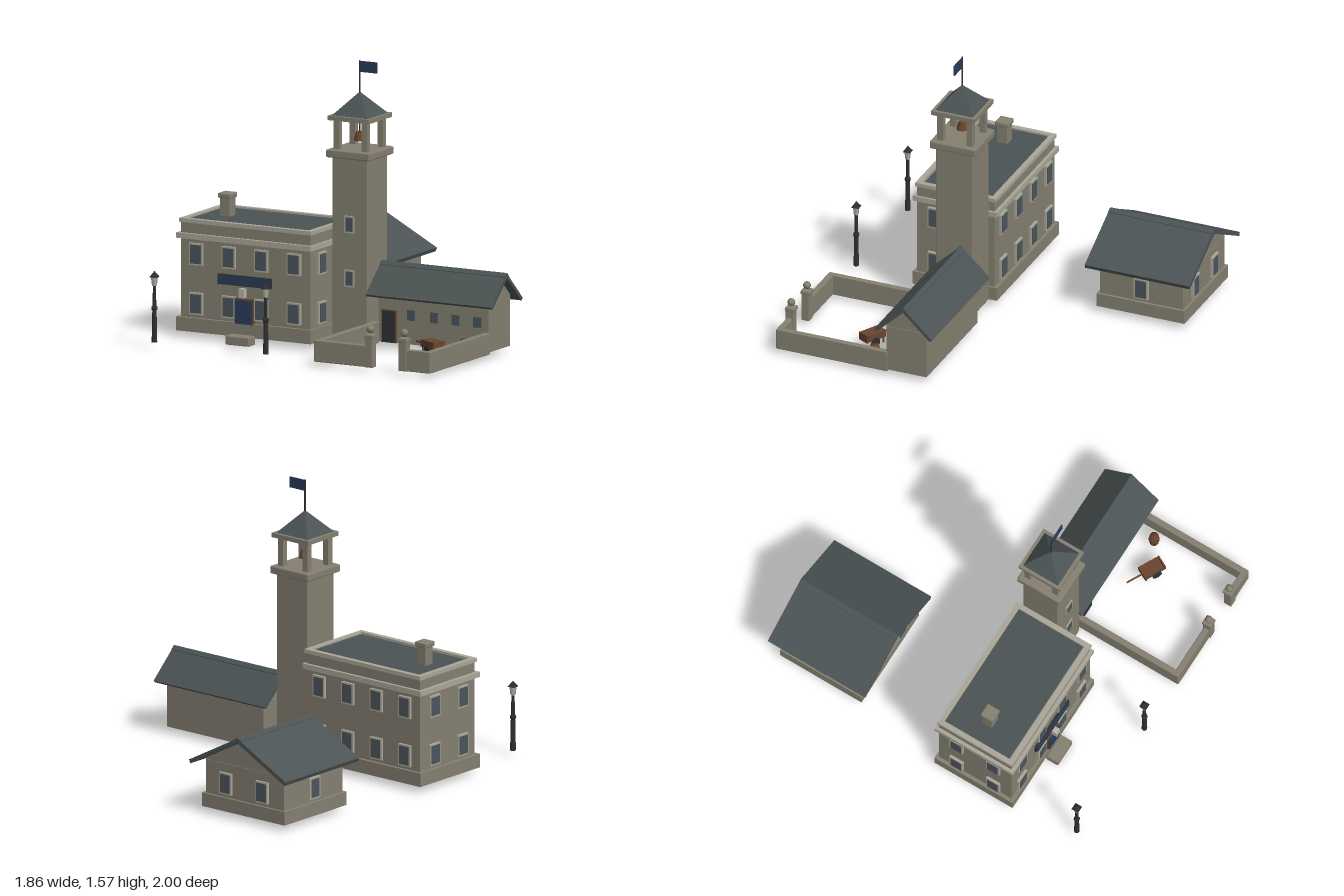
import * as THREE from 'three';
import { RoundedBoxGeometry } from 'three/addons/geometries/RoundedBoxGeometry.js';

const mat = (name, color) => Object.assign(new THREE.MeshStandardMaterial({ color }), { name });

export function createModel() {
  const stone = mat('stone', 0x858071), trim = mat('pale trim', 0xaaa799), slate = mat('slate', 0x4b5354);
  const glass = mat('window glass', 0x4c565c), navy = mat('navy', 0x2a3c5a), wood = mat('wood', 0x6a452e);
  const iron = mat('dark iron', 0x2d3032), lampGlass = mat('lamp glass', 0xb9b6a8);
  const root = new THREE.Group();
  root.name = 'station';

  const add = (parent, name, geo, m, x = 0, y = 0, z = 0) => {
    const mesh = new THREE.Mesh(geo, m);
    mesh.name = name;
    mesh.position.set(x, y, z);
    parent.add(mesh);
    return mesh;
  };
  const group = (name, x = 0, y = 0, z = 0, ry = 0, parent = root) => {
    const g = new THREE.Group();
    g.name = name;
    g.position.set(x, y, z);
    g.rotation.y = ry;
    parent.add(g);
    return g;
  };
  // Box given by its limits on each axis; r bevels the edges
  const box = (p, name, m, x0, x1, y0, y1, z0, z1, r = 0) => {
    const s = [x1 - x0, y1 - y0, z1 - z0];
    const geo = r ? new RoundedBoxGeometry(...s, 1, r) : new THREE.BoxGeometry(...s);
    return add(p, name, geo, m, (x0 + x1) / 2, (y0 + y1) / 2, (z0 + z1) / 2);
  };
  // Rectangular frame lying flat, open in the middle
  const ring = (p, name, m, x0, x1, y0, y1, z0, z1, t) => {
    const rect = (C, a, b, c, d) => new C([[a, c], [b, c], [b, d], [a, d]].map(q => new THREE.Vector2(...q)));
    const s = rect(THREE.Shape, x0, x1, -z1, -z0);
    s.holes.push(rect(THREE.Path, x0 + t, x1 - t, -z1 + t, -z0 - t));
    const geo = new THREE.ExtrudeGeometry(s, { depth: y1 - y0, bevelEnabled: false }).rotateX(-Math.PI / 2);
    return add(p, name, geo, m, 0, y0, 0);
  };
  // Framed window centred at a wall point, facing +z before turning
  const win = (p, x, y, z, ry = 0, w = 0.085, h = 0.122) => {
    const g = group('window', x, y, z, ry, p);
    add(g, 'windowFrame', new THREE.BoxGeometry(w, h, 0.03), trim);
    add(g, 'windowPane', new THREE.BoxGeometry(w - 0.018, h - 0.018, 0.004), glass, 0, 0, 0.0155);
  };
  // Prism with its cross-section in (z, y), running along x
  const prism = (p, name, m, pts, len) => {
    const s = new THREE.Shape(pts.map(q => new THREE.Vector2(...q)));
    const geo = new THREE.ExtrudeGeometry(s, { depth: len, bevelEnabled: false });
    geo.translate(0, 0, -len / 2).rotateY(-Math.PI / 2);
    return add(p, name, geo, m);
  };
  // Gabled house with the ridge along local x
  const gabled = (p, { wallL, wallW, roofL, roofW, base, eave, ridge, cap }) => {
    const slope = (ridge - eave) / roofW, t = 0.026;
    const under = z => ridge - t - slope * z;
    prism(p, 'gabledWalls', stone, [[-wallW, base], [wallW, base], [wallW, under(wallW)], [0, under(0)], [-wallW, under(wallW)]], wallL * 2);
    const k = t * slope * 0.6;
    prism(p, 'gabledRoof', slate, [[-roofW, eave], [-roofW + k, eave - t + k * slope], [0, ridge - t], [roofW - k, eave - t + k * slope], [roofW, eave], [0, ridge]], roofL * 2);
    const d = cap * slope;
    prism(p, 'ridgeCap', slate, [[-cap, ridge - d - 0.004], [cap, ridge - d - 0.004], [cap, ridge - d + 0.004], [0, ridge + 0.004], [-cap, ridge - d + 0.004]], roofL * 2);
    for (const sx of [-1, 1]) box(p, 'gableBand', stone, sx * wallL - 0.004, sx * wallL + 0.004, 0.297, 0.305, -wallW * 0.98, wallW * 0.98);
  };

  // Main hall
  const hall = group('mainHall');
  box(hall, 'hallWalls', stone, -0.915, -0.1, 0.1, 0.642, 0.115, 0.58);
  ring(hall, 'hallPlinth', stone, -0.935, -0.088, 0.035, 0.112, 0.097, 0.6, 0.035);
  box(hall, 'cornice', trim, -0.935, -0.088, 0.55, 0.58, 0.097, 0.6);
  ring(hall, 'coping', trim, -0.923, -0.093, 0.638, 0.66, 0.107, 0.588, 0.03);
  box(hall, 'flatRoof', slate, -0.897, -0.12, 0.63, 0.65, 0.133, 0.55);
  for (const y of [0.192, 0.467]) {
    for (const x of [-0.815, -0.61, -0.405, -0.2]) {
      win(hall, x, y, 0.58);
      win(hall, x, y, 0.115, Math.PI);
    }
    for (const z of [0.232, 0.468]) {
      win(hall, -0.915, y, z, -Math.PI / 2);
      win(hall, -0.1, y, z, Math.PI / 2);
    }
  }
  box(hall, 'doorFrame', wood, -0.567, -0.449, 0.1, 0.247, 0.57, 0.6);
  box(hall, 'door', navy, -0.56, -0.456, 0.108, 0.24, 0.6, 0.607);
  box(hall, 'doorStep', stone, -0.585, -0.435, 0, 0.05, 0.6, 0.675, 0.006);
  box(hall, 'signBacking', iron, -0.677, -0.343, 0.317, 0.373, 0.575, 0.596);
  box(hall, 'signBoard', navy, -0.672, -0.348, 0.322, 0.368, 0.596, 0.602);
  box(hall, 'doorLamp', lampGlass, -0.525, -0.491, 0.258, 0.308, 0.598, 0.63);
  box(hall, 'doorLampArm', iron, -0.512, -0.504, 0.29, 0.298, 0.575, 0.6);
  box(hall, 'chimney', stone, -0.788, -0.724, 0.64, 0.755, 0.313, 0.377, 0.004);
  box(hall, 'chimneyCap', stone, -0.796, -0.716, 0.75, 0.778, 0.305, 0.385, 0.006);

  // Bell tower
  const tower = group('bellTower', 0.025, 0, 0.254);
  box(tower, 'towerShaft', stone, -0.112, 0.112, 0.035, 1.045, -0.112, 0.112, 0.008);
  box(tower, 'towerLedge', stone, -0.137, 0.137, 1.04, 1.085, -0.137, 0.137, 0.008);
  for (const sx of [-1, 1]) for (const sz of [-1, 1])
    add(tower, 'belfryPost', new THREE.BoxGeometry(0.035, 0.17, 0.035), stone, sx * 0.088, 1.166, sz * 0.088);
  ring(tower, 'belfryBeam', stone, -0.13, 0.13, 1.247, 1.272, -0.13, 0.13, 0.045);
  const spire = new THREE.ConeGeometry(0.118 * Math.SQRT2, 0.132, 4).rotateY(Math.PI / 4).toNonIndexed();
  spire.computeVertexNormals();
  add(tower, 'spireRoof', spire, slate, 0, 1.331, 0);
  add(tower, 'flagPole', new THREE.CylinderGeometry(0.005, 0.005, 0.19, 8), iron, 0, 1.475, 0);
  box(tower, 'flag', navy, 0.004, 0.11, 1.507, 1.568, -0.003, 0.003);
  add(tower, 'bell', new THREE.CylinderGeometry(0.021, 0.033, 0.05, 10), wood, 0, 1.15, 0);
  add(tower, 'bellHanger', new THREE.CylinderGeometry(0.004, 0.004, 0.09, 6), iron, 0, 1.22, 0);
  for (const y of [0.375, 0.675]) win(tower, 0, y, 0.104, 0, 0.062, 0.095);

  // Low stable wing
  const wing = group('stableWing', 0.5325, 0, 0.212);
  gabled(wing, { wallL: 0.347, wallW: 0.119, roofL: 0.397, roofW: 0.173, base: 0.035, eave: 0.298, ridge: 0.46, cap: 0.021 });
  for (const x of [-0.14, 0.005, 0.14, 0.278]) box(wing, 'wingWindow', glass, x - 0.024, x + 0.024, 0.168, 0.226, 0.11, 0.124);
  box(wing, 'wingDoorFrame', wood, -0.319, -0.23, 0.035, 0.217, 0.1, 0.13);
  box(wing, 'wingDoor', iron, -0.314, -0.235, 0.037, 0.211, 0.13, 0.135);

  // Rear outbuilding, ridge along z
  const shed = group('outbuilding', -0.551, 0, -0.688, Math.PI / 2);
  gabled(shed, { wallL: 0.248, wallW: 0.28, roofL: 0.312, roofW: 0.346, base: 0.1, eave: 0.302, ridge: 0.486, cap: 0.028 });
  ring(shed, 'outbuildingPlinth', stone, -0.262, 0.262, 0.035, 0.112, -0.297, 0.297, 0.035);
  for (const s of [-1, 1]) {
    win(shed, 0, 0.192, s * 0.28, s > 0 ? 0 : Math.PI);
    for (const z of [-0.13, 0.13]) win(shed, s * 0.248, 0.192, z, s * Math.PI / 2);
  }

  // Courtyard wall with gate pillars
  const yard = group('courtyard');
  box(yard, 'yardWallRight', stone, 0.155, 0.19, 0.025, 0.145, 0.325, 0.99, 0.005);
  box(yard, 'yardWallLeft', stone, 0.853, 0.888, 0.025, 0.145, 0.325, 0.99, 0.005);
  box(yard, 'frontWallRight', stone, 0.157, 0.5, 0.025, 0.145, 0.955, 0.99, 0.005);
  box(yard, 'frontWallLeft', stone, 0.717, 0.886, 0.025, 0.145, 0.955, 0.99, 0.005);
  for (const x of [0.503, 0.717]) {
    box(yard, 'gatePillar', stone, x - 0.024, x + 0.024, 0.025, 0.19, 0.949, 0.997, 0.004);
    box(yard, 'pillarCap', stone, x - 0.028, x + 0.028, 0.185, 0.207, 0.944, 1.0, 0.004);
    add(yard, 'pillarBall', new THREE.SphereGeometry(0.022, 10, 8), stone, x, 0.235, 0.972);
  }

  // Barrel
  const stave = [[0, 0], [0.025, 0], [0.031, 0.045], [0.025, 0.09], [0, 0.09]].map(q => new THREE.Vector2(...q));
  add(root, 'barrel', new THREE.LatheGeometry(stave, 12), wood, 0.793, 0.03, 0.44);

  // Handcart
  const cart = group('handcart', 0.632, 0, 0.52, -0.48);
  box(cart, 'cartBed', wood, -0.06, 0.06, 0.072, 0.112, -0.037, 0.037);
  box(cart, 'cartTailboard', wood, 0.064, 0.072, 0.07, 0.115, -0.037, 0.037);
  for (const s of [-1, 1]) {
    add(cart, 'cartWheel', new THREE.CylinderGeometry(0.028, 0.028, 0.01, 12).rotateX(Math.PI / 2), iron, 0.015, 0.062, s * 0.04);
    box(cart, 'cartLeg', wood, -0.052, -0.044, 0.036, 0.075, s * 0.028 - 0.004, s * 0.028 + 0.004);
  }
  box(cart, 'cartHandle', wood, -0.155, -0.05, 0.08, 0.088, -0.004, 0.004);

  // Street lamps
  for (const x of [-0.861, -0.159]) {
    const lamp = group('streetLamp', x, 0, 0.968);
    add(lamp, 'lampBase', new THREE.CylinderGeometry(0.012, 0.016, 0.19, 8), iron, 0, 0.13, 0);
    add(lamp, 'lampCollar', new THREE.SphereGeometry(0.018, 8, 6), iron, 0, 0.225, 0);
    add(lamp, 'lampPole', new THREE.CylinderGeometry(0.009, 0.011, 0.14, 8), iron, 0, 0.285, 0);
    add(lamp, 'lantern', new THREE.CylinderGeometry(0.02, 0.014, 0.048, 4).rotateY(Math.PI / 4), lampGlass, 0, 0.374, 0);
    add(lamp, 'lanternCap', new THREE.ConeGeometry(0.03, 0.035, 4).rotateY(Math.PI / 4), iron, 0, 0.415, 0);
  }
  return root;
}
